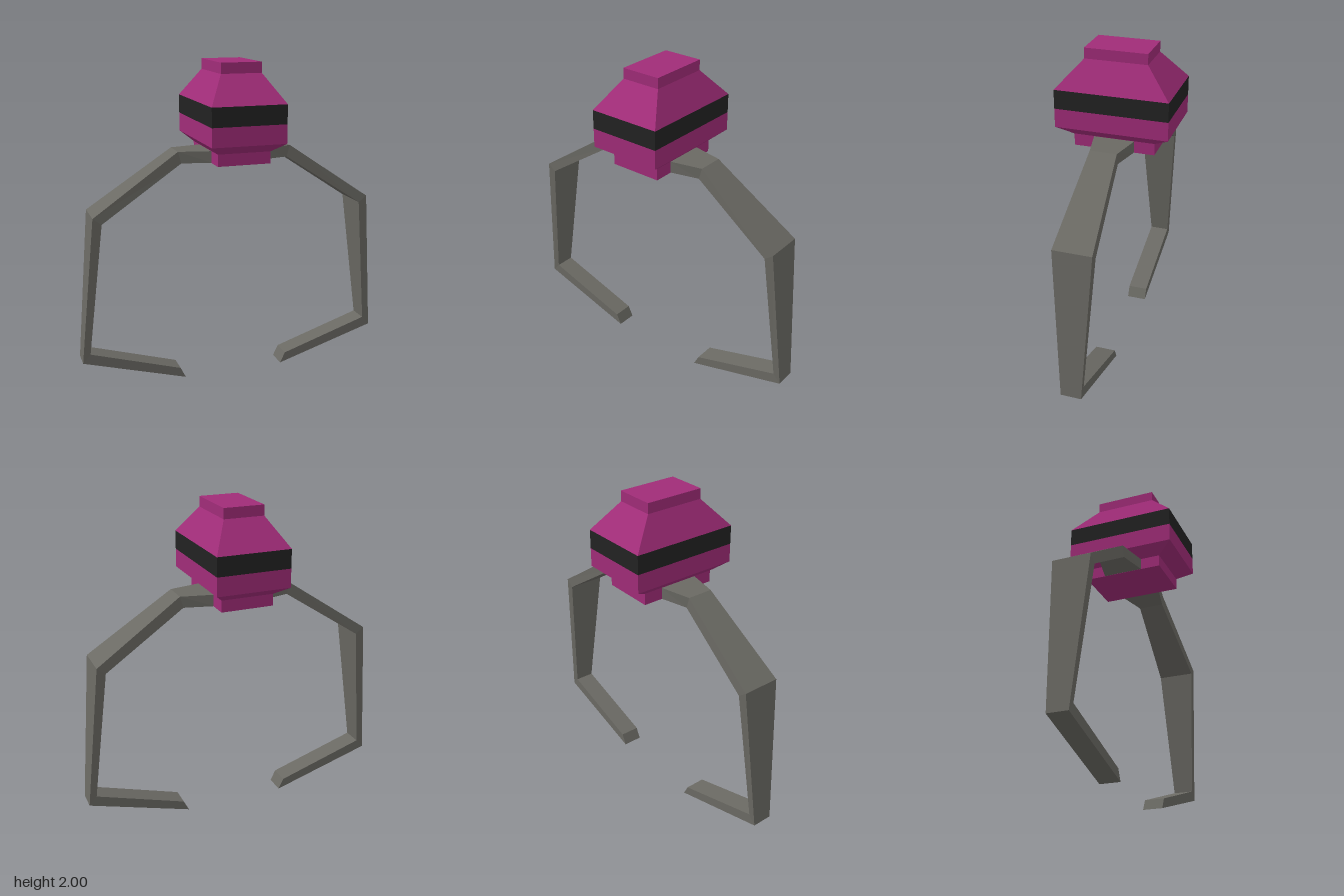
import * as THREE from 'three';

const paint = (color) => new THREE.MeshStandardMaterial({ color, flatShading: true });

// Skin a list of four-cornered rings; corners run counter-clockwise seen from the end
function loft(name, rings, material, capStart, capEnd) {
  const pos = [];
  const quad = (a, b, c, d) => pos.push(...a, ...b, ...c, ...a, ...c, ...d);
  for (let r = 0; r < rings.length - 1; r++) {
    const p = rings[r], q = rings[r + 1];
    for (let i = 0; i < 4; i++) {
      const j = (i + 1) % 4;
      quad(p[i], p[j], q[j], q[i]);
    }
  }
  if (capStart) quad(...[...rings[0]].reverse());
  if (capEnd) quad(...rings[rings.length - 1]);
  const geo = new THREE.BufferGeometry();
  geo.setAttribute('position', new THREE.Float32BufferAttribute(pos, 3));
  geo.computeVertexNormals();
  const mesh = new THREE.Mesh(geo, material);
  mesh.name = name;
  return mesh;
}

// Horizontal rectangle of the housing: half width, half depth, height
const rect = ([w, d, y]) => [[-w, y, d], [w, y, d], [w, y, -d], [-w, y, -d]];

// Cross-section of an arm: outer point, inner point, half depth
function armRing([ox, oy, ix, iy, d], side) {
  const ring = [
    [side * ix, iy, -d], [side * ox, oy, -d],
    [side * ox, oy, d], [side * ix, iy, d],
  ];
  return side < 0 ? ring.reverse() : ring;
}

export function createModel() {
  const group = new THREE.Group();
  const magenta = paint(0xa02c78);
  const black = paint(0x222222);
  const steel = paint(0x6a6963);

  // Housing: mounting foot and flared lower half, dark band, tapered top
  const lower = [[0.165, 0.247, 1.405], [0.165, 0.247, 1.478], [0.231, 0.343, 1.535], [0.231, 0.343, 1.65]];
  const band = [[0.231, 0.343, 1.65], [0.231, 0.343, 1.766]];
  const upper = [[0.231, 0.343, 1.766], [0.126, 0.19, 1.936], [0.126, 0.19, 2]];
  group.add(loft('lowerHousing', lower.map(rect), magenta, true, false));
  group.add(loft('band', band.map(rect), black, false, false));
  group.add(loft('upperHousing', upper.map(rect), magenta, false, true));

  // Claw arms: shoulder, elbow, wrist and slanted tip
  const arm = [
    [0.16, 1.477, 0.16, 1.406, 0.125],
    [0.36, 1.477, 0.34, 1.406, 0.081],
    [0.89, 1.12, 0.838, 1.08, 0.117],
    [0.98, 0.193, 0.932, 0.247, 0.063],
    [0.328, 0, 0.362, 0.068, 0.063],
  ];
  for (const side of [1, -1]) {
    const name = side > 0 ? 'leftArm' : 'rightArm';
    group.add(loft(name, arm.map((s) => armRing(s, side)), steel, true, true));
  }
  return group;
}
